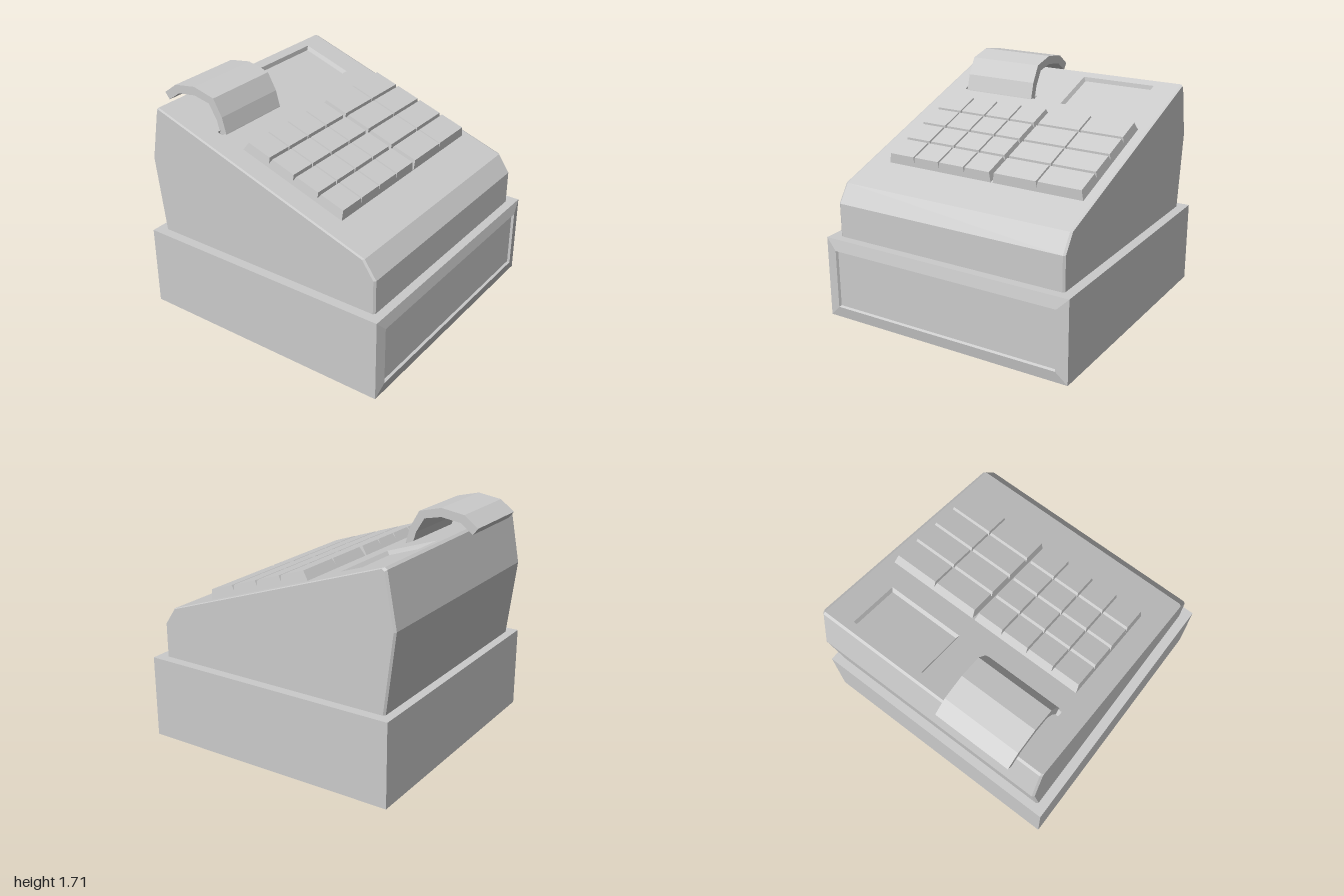
import * as THREE from 'three';

const grey = new THREE.MeshStandardMaterial({ color: 0xcccccc, flatShading: true });

// Flat-faced skin over a row of matching loops; skip names one [row, edge] left open.
function loft(rings, capStart, capEnd, skip = []) {
  const pos = [];
  const tri = (...pts) => pts.forEach((p) => pos.push(...p));
  for (let r = 0; r < rings.length - 1; r++) {
    const a = rings[r], b = rings[r + 1];
    a.forEach((p, i) => {
      if (skip[0] === r && skip[1] === i) return;
      const j = (i + 1) % a.length;
      tri(p, a[j], b[j]);
      tri(p, b[j], b[i]);
    });
  }
  const fan = (loop) => {
    for (let i = 1; i < loop.length - 1; i++) tri(loop[0], loop[i], loop[i + 1]);
  };
  if (capStart) fan([...rings[0]].reverse());
  if (capEnd) fan(rings[rings.length - 1]);
  const geo = new THREE.BufferGeometry();
  geo.setAttribute('position', new THREE.Float32BufferAttribute(pos, 3));
  geo.computeVertexNormals();
  return geo;
}

// Rectangular loop at height z, shrunk by dx and dy on each side.
const rect = ([x0, y0, x1, y1], z, dx = 0, dy = dx) => [
  [x0 + dx, y0 + dy, z], [x1 - dx, y0 + dy, z], [x1 - dx, y1 - dy, z], [x0 + dx, y1 - dy, z],
];

function add(parent, name, geo) {
  const mesh = new THREE.Mesh(geo, grey);
  mesh.name = name;
  parent.add(mesh);
  return mesh;
}

export function createModel() {
  const model = new THREE.Group();
  model.name = 'cashRegister';

  // Drawer box with a sloped front frame and a sunken front panel
  const box = [-0.983, 0, 0.983, 0.61];
  add(model, 'drawerBase', loft([
    rect(box, -0.975),
    rect(box, 0.985),
    rect(box, 1.0, 0.085),
    rect(box, 0.982, 0.093),
  ], true, true));

  // Wedge-shaped housing with chamfered sides; its sloping top is added as a panel
  const profile = [[0.92, 0.58], [-0.908, 0.58], [-0.98, 1.18], [-0.907, 1.562], [-0.89, 1.577],
    [0.83, 0.99], [0.92, 0.86]]; // [z, y]
  const slice = (x, s) => profile.map(([z, y]) => [x, 0.9 + (y - 0.9) * s, z * s]);
  add(model, 'housing', loft(
    [slice(-0.912, 0.986), slice(-0.897, 1), slice(0.897, 1), slice(0.912, 0.986)],
    true, true, [1, 4]));

  // Sloping face: local x across, local y up the slope, local z outward
  const tilt = Math.atan2(1.577 - 0.99, 0.83 + 0.89);
  const slope = new THREE.Group();
  slope.name = 'slopingFace';
  slope.position.set(0, 0.99, 0.83);
  slope.rotation.x = tilt - Math.PI / 2;
  model.add(slope);
  const up = (z) => (0.83 - z) / Math.cos(tilt);

  const display = [0.12, up(-0.445), 0.705, up(-0.825)];
  const slot = [-0.745, up(-0.455), -0.11, up(-0.497)];
  const toPoints = (r) => rect(r, 0).map(([x, y]) => new THREE.Vector2(x, y));
  const panel = new THREE.Shape(toPoints([-0.897, 0, 0.897, up(-0.89)]));
  panel.holes.push(new THREE.Path(toPoints(display)), new THREE.Path(toPoints(slot)));
  add(slope, 'topPanel', new THREE.ShapeGeometry(panel));
  add(slope, 'displayRecess',
    loft([rect(display, 0), rect(display, -0.03, 0.014)], false, true));
  add(slope, 'paperSlot', loft([rect(slot, 0), rect(slot, -0.06, 0.008)], false, true));

  // Keypad: narrow keys on one side, wide keys on the other, feet overlapping
  const rows = 4, front = up(0.54), rowPitch = (up(-0.28) - front - 0.02) / rows;
  const blocks = [
    { name: 'numberKey', x: -0.737, width: 0.862, columns: 4 },
    { name: 'functionKey', x: 0.14, width: 0.695, columns: 2 },
  ];
  for (const { name, x, width, columns } of blocks) {
    const pitch = (width - 0.01) / columns;
    const foot = [0, 0, pitch + 0.01, rowPitch + 0.02];
    const key = loft([rect(foot, -0.005), rect(foot, 0.07, 0.012, 0.022)], false, true);
    for (let r = 0; r < rows; r++) {
      for (let c = 0; c < columns; c++) {
        add(slope, name, key).position.set(x + c * pitch, front + r * rowPitch, 0);
      }
    }
  }

  // Receipt curling out of its slot towards the back
  const curl = [[-0.435, 1.39], [-0.444, 1.43], [-0.476, 1.545], [-0.545, 1.668], [-0.717, 1.711],
    [-0.893, 1.684], [-1.0, 1.604], [-0.963, 1.556], [-0.866, 1.626], [-0.717, 1.647],
    [-0.588, 1.62], [-0.524, 1.513], [-0.503, 1.44], [-0.495, 1.39]]; // [z, y]
  const receipt = add(model, 'receipt', new THREE.ExtrudeGeometry(
    new THREE.Shape(curl.map(([z, y]) => new THREE.Vector2(-z, y))),
    { depth: 0.583, bevelEnabled: false }));
  receipt.rotation.y = Math.PI / 2;
  receipt.position.x = -0.717;

  return model;
}
